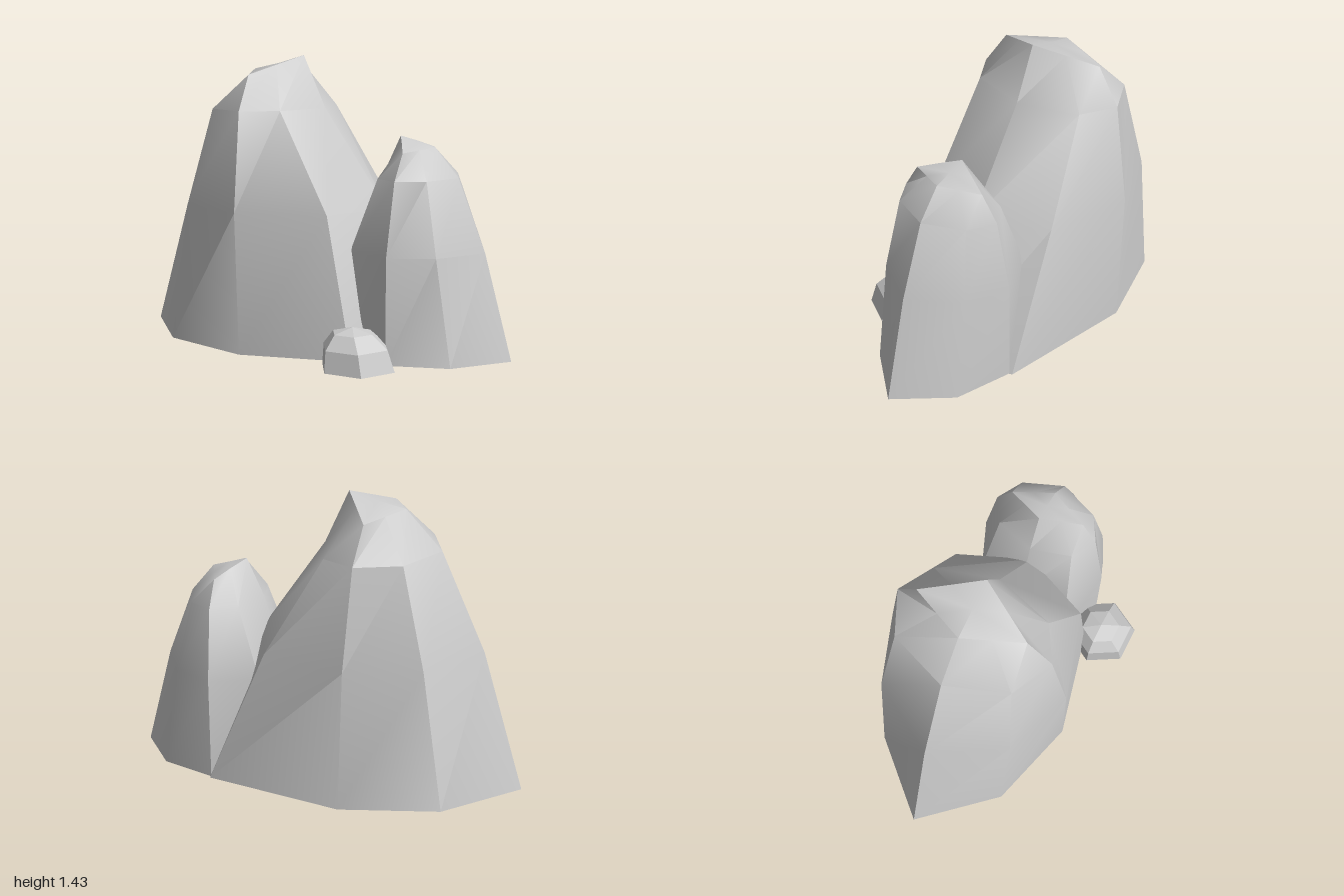
import * as THREE from 'three';
import { toCreasedNormals } from 'three/addons/utils/BufferGeometryUtils.js';

const material = new THREE.MeshStandardMaterial({ color: 0xcccccc });

// Skin a stack of closed rings (counter-clockwise from above), fanned shut at both ends.
function loft(rings, topPoint, bottomPoint) {
  const n = rings[0].length;
  const points = [...rings.flat(), topPoint, bottomPoint];
  const index = [];
  const top = rings.length * n, bottom = top + 1;
  for (let i = 0; i < n; i++) {
    const j = (i + 1) % n;
    for (let r = 0; r < rings.length - 1; r++) {
      const a = r * n + i, b = r * n + j;
      index.push(a, b, b + n, a, b + n, a + n);
    }
    index.push(top - n + i, top - n + j, top);
    index.push(j, i, bottom);
  }
  const geometry = new THREE.BufferGeometry();
  geometry.setAttribute('position', new THREE.Float32BufferAttribute(points.flat(), 3));
  geometry.setIndex(index);
  return geometry;
}

// Eight-sided ring: five stations from left to right, mirrored about z = -0.055.
// backX moves the rear corner of the right or left shoulder.
function rockRing({ y, x, w, backX = x }) {
  const zc = -0.055;
  const height = (i) => (Array.isArray(y) ? y[i] : y);
  const front = [0, 1, 2, 3, 4].map((i) => [x[i], height(i), zc + w[i]]);
  const back = [3, 2, 1].map((i) => [backX[i], height(i), zc - w[i]]);
  return [...front, ...back];
}

function rock(name, rows, topPoint, bottomPoint) {
  const geometry = loft(rows.map(rockRing), topPoint, bottomPoint);
  const mesh = new THREE.Mesh(toCreasedNormals(geometry, THREE.MathUtils.degToRad(36)), material);
  mesh.name = name;
  return mesh;
}

export function createModel() {
  const group = new THREE.Group();
  group.name = 'rockFormation';

  // Tall rock, leaning to a slanted diamond-shaped top
  group.add(rock('largeRock', [
    { y: 0, x: [-1, -0.68, -0.21, 0.33, 0.6], w: [0, 0.355, 0.485, 0.355, 0],
      backX: [-1, -0.68, -0.21, 0.5, 0.6] },
    { y: 0.69, x: [-0.79, -0.58, -0.23, 0.2, 0.35], w: [0, 0.355, 0.485, 0.355, 0] },
    { y: 1.17, x: [-0.57, -0.46, -0.25, -0.08, 0.01], w: [0, 0.3, 0.4, 0.3, 0] },
    { y: [1.36, 1.35, 1.34, 1.385, 1.43], x: [-0.39, -0.328, -0.265, -0.188, -0.11],
      w: [0, 0.14, 0.28, 0.14, 0] },
  ], [-0.25, 1.39, -0.055], [-0.2, 0, -0.055]));

  // Shorter rock beside it
  group.add(rock('smallRock', [
    { y: 0, x: [0.25, 0.33, 0.5, 0.79, 1], w: [0, 0.25, 0.34, 0.25, 0] },
    { y: 0.51, x: [0.22, 0.27, 0.5, 0.71, 0.86], w: [0, 0.245, 0.34, 0.245, 0] },
    { y: 0.86, x: [0.33, 0.39, 0.51, 0.64, 0.72], w: [0, 0.2, 0.275, 0.2, 0] },
    { y: [1.05, 1.02, 0.985, 0.993, 1], x: [0.42, 0.468, 0.515, 0.558, 0.6],
      w: [0, 0.097, 0.195, 0.097, 0] },
  ], [0.51, 1.025, -0.055], [0.55, 0, -0.055]));

  // Faceted hexagonal stone at the front: [height, radius, centre x]
  const stoneRings = [[0, 0.187, 0.4], [0.1, 0.165, 0.385], [0.165, 0.1, 0.37]].map(
    ([y, r, cx]) => Array.from({ length: 6 }, (_, i) => {
      const a = (i * Math.PI) / 3;
      return [cx + r * Math.cos(a), y, 0.37 - r * Math.sin(a)];
    }));
  const stoneGeometry = loft(stoneRings, [0.37, 0.19, 0.37], [0.4, 0, 0.37]).toNonIndexed();
  stoneGeometry.computeVertexNormals();
  const stone = new THREE.Mesh(stoneGeometry,
    new THREE.MeshStandardMaterial({ color: 0xcccccc, flatShading: true }));
  stone.name = 'frontStone';
  group.add(stone);

  return group;
}
